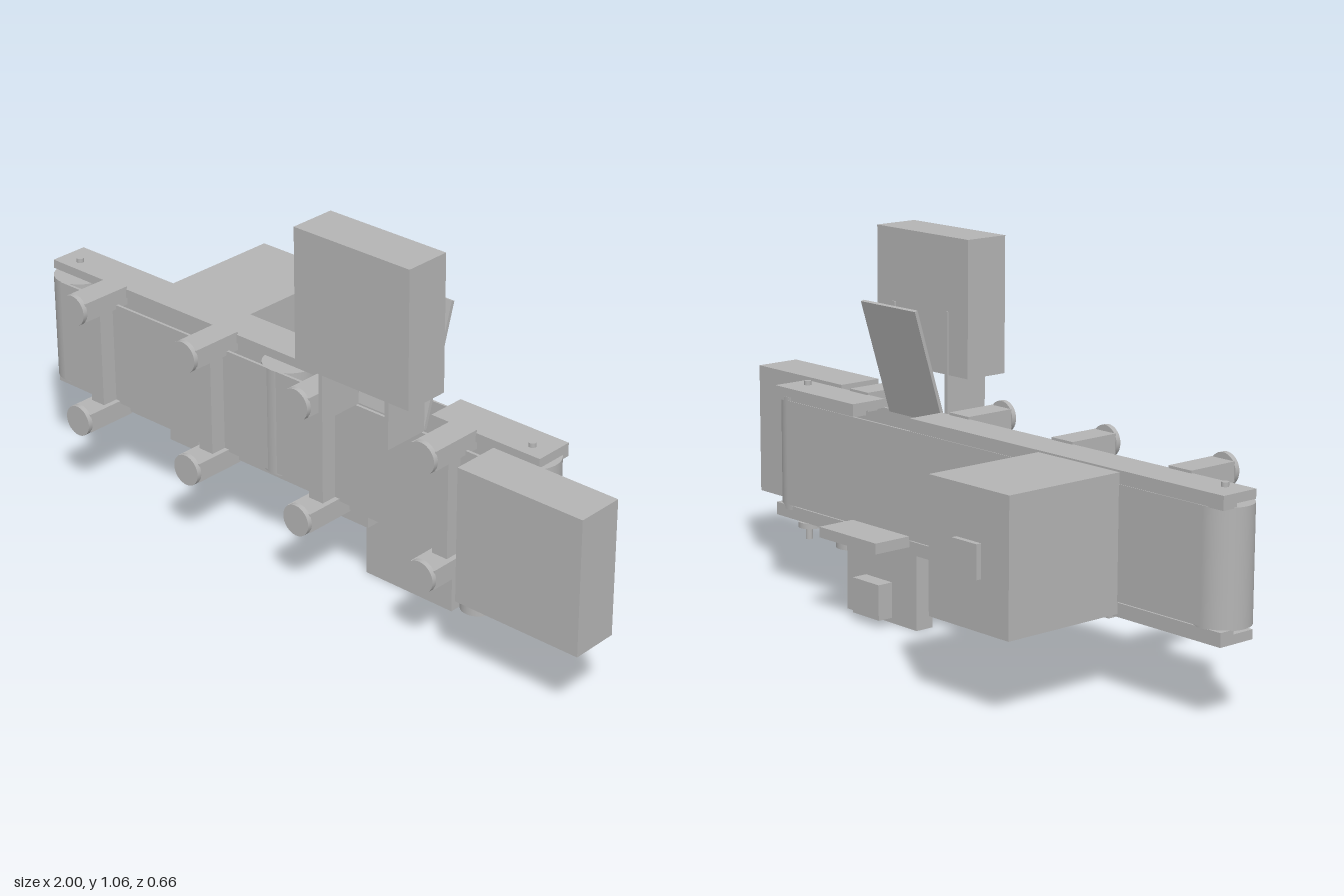
import * as THREE from 'three';

export function createModel() {
  const group = new THREE.Group();
  const grey = new THREE.MeshStandardMaterial({ color: 0xb4b4b4 });
  grey.name = 'machine grey';

  const add = (name, geometry, x, y, z) => {
    const mesh = new THREE.Mesh(geometry, grey);
    mesh.name = name;
    mesh.position.set(x, y, z);
    group.add(mesh);
    return mesh;
  };
  // Box from its extents along each axis
  const box = (name, [x0, x1], [y0, y1], [z0, z1]) =>
    add(name, new THREE.BoxGeometry(x1 - x0, y1 - y0, z1 - z0),
      (x0 + x1) / 2, (y0 + y1) / 2, (z0 + z1) / 2);
  // Upright cylinder from its lower to its upper end
  const post = (name, r, x, z, y0, y1) =>
    add(name, new THREE.CylinderGeometry(r, r, y1 - y0, 40), x, (y0 + y1) / 2, z);

  // Side rails with a rear lip; the upper rail is cut under the chute
  const rail = (name, x, outer, lip) => {
    box(name, x, outer, [0.052, 0.165]);
    box(name + 'Lip', x, lip, [0.052, 0.098]);
  };
  rail('lowerRail', [-0.99, 0.74], [0.21, 0.235], [0.235, 0.247]);
  rail('upperRailLong', [-0.99, 0.155], [0.56, 0.585], [0.548, 0.56]);
  rail('upperRailShort', [0.395, 0.74], [0.56, 0.585], [0.548, 0.56]);

  // Belt runs and rollers
  box('frontBelt', [-0.925, 0.685], [0.25, 0.55], [0.195, 0.203]);
  box('backBelt', [-0.925, 0.685], [0.25, 0.55], [0.05, 0.056]);
  post('endRoller', 0.075, -0.925, 0.125, 0.245, 0.55);
  post('middleRoller', 0.075, -0.12, 0.13, 0.245, 0.55);
  post('driveRoller', 0.075, 0.685, 0.125, 0.235, 0.56);

  // Roller shafts and drive pulley
  post('endShaft', 0.01, -0.925, 0.125, 0.2, 0.597);
  post('driveShaft', 0.01, 0.685, 0.125, 0.137, 0.597);
  post('drivePulley', 0.035, 0.685, 0.13, 0.172, 0.188);
  post('motor', 0.045, 0.585, 0.2, 0.12, 0.31);

  // Leg pairs with round feet and cross bars
  for (const x of [-0.74, -0.32, 0.08, 0.5]) {
    box('crossBar', [x - 0.024, x + 0.024], [0.25, 0.55], [0.2, 0.25]);
    for (const y of [0.23, 0.565]) {
      box('leg', [x - 0.039, x + 0.039], [y - 0.027, y + 0.027], [0.16, 0.315]);
      const foot = add('foot', new THREE.CylinderGeometry(0.044, 0.044, 0.014, 32), x, y, 0.32);
      foot.rotation.x = Math.PI / 2;
    }
  }

  // Control cabinet beside the drive end
  box('controlCabinet', [0.62, 1], [0.21, 0.585], [0.195, 0.33]);

  // Upper bin on two side plates, with a tilted chute behind it
  box('upperBin', [0.087, 0.462], [0.682, 1.058], [0.197, 0.33]);
  for (const x of [0.17, 0.39])
    box('binSupport', [x - 0.006, x + 0.006], [0.55, 0.855], [0.193, 0.328]);
  const chute = add('chute', new THREE.BoxGeometry(0.225, 0.335, 0.01), 0.28, 0.709, 0.135);
  chute.rotation.x = -Math.atan2(0.1, 0.32);

  // Lower reject box, its shelf and rear unit
  box('lowerBox', [0.13, 0.425], [0, 0.212], [0.053, 0.11]);
  box('shelf', [0.157, 0.397], [0.23, 0.26], [-0.067, 0.056]);
  box('rearUnit', [0.22, 0.33], [0.02, 0.12], [-0.005, 0.042]);

  // Inspection housing with a small rear cover
  box('housing', [-0.64, -0.347], [0.218, 0.58], [-0.315, 0.055]);
  box('housingCover', [-0.54, -0.45], [0.353, 0.443], [-0.33, -0.315]);

  // Sensor blocks under the lower rail
  for (const x of [-0.495, 0.125])
    box('sensorBlock', [x - 0.055, x + 0.055], [0.175, 0.212], [0.11, 0.16]);

  return group;
}
